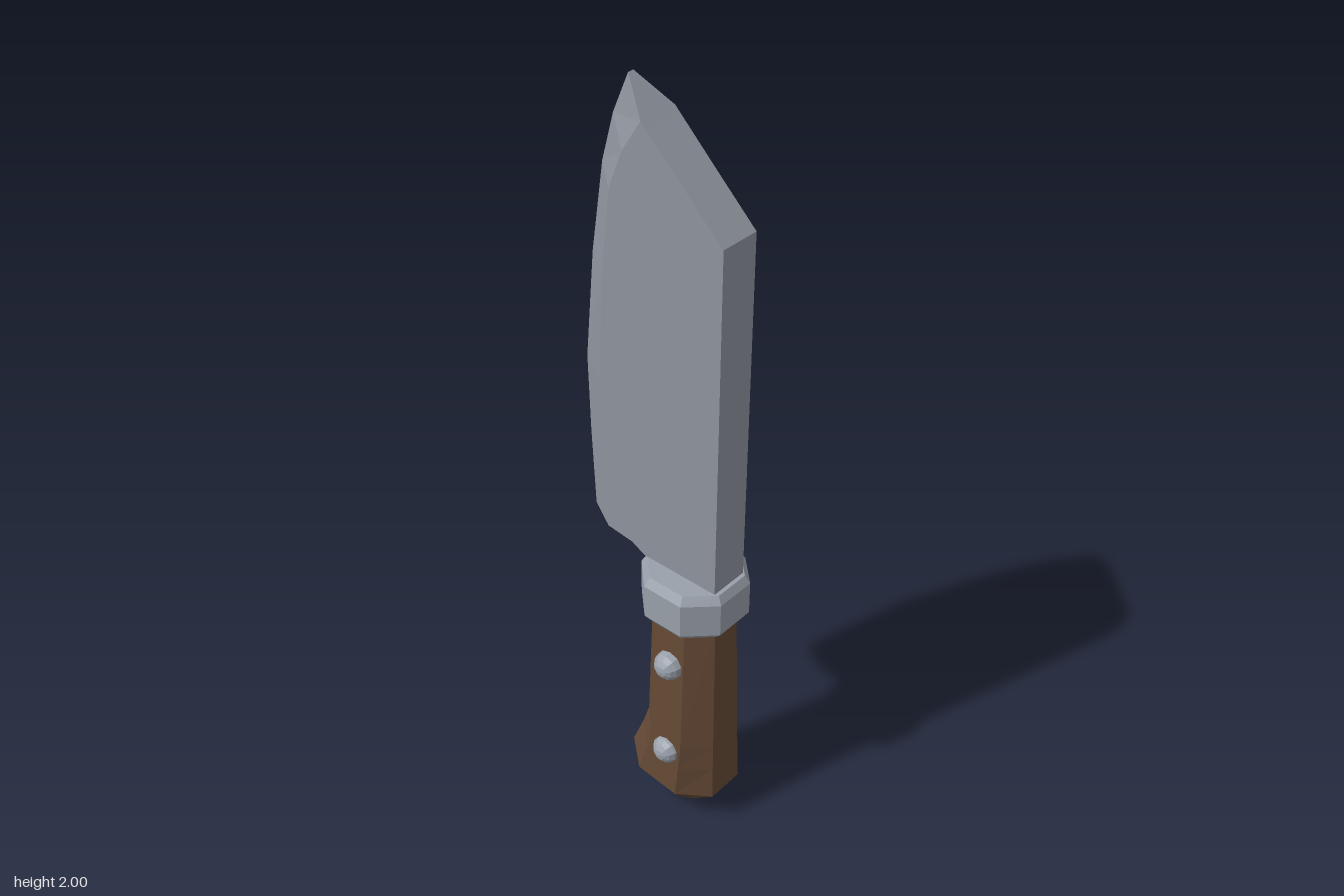
import * as THREE from 'three';

const steel = new THREE.MeshStandardMaterial({ color: 0x8f959e, flatShading: true });
steel.name = 'blade steel';
const pale = new THREE.MeshStandardMaterial({ color: 0x9aa1ab, flatShading: true });
pale.name = 'fitting steel';
const wood = new THREE.MeshStandardMaterial({ color: 0x664a36, flatShading: true });
wood.name = 'brown wood';

// Skins equal-length rings of [x, y, z] from bottom to top and caps both ends.
// Rings run counter-clockwise seen from above.
function loft(name, rings, material) {
  const n = rings[0].length;
  const index = [];
  for (let r = 0; r < rings.length - 1; r++) {
    for (let i = 0; i < n; i++) {
      const j = (i + 1) % n;
      const a = r * n + i, b = r * n + j, c = a + n, d = b + n;
      index.push(a, b, d, a, d, c);
    }
  }
  const top = (rings.length - 1) * n;
  for (let i = 1; i < n - 1; i++) {
    index.push(0, i + 1, i);
    index.push(top, top + i, top + i + 1);
  }
  const geometry = new THREE.BufferGeometry();
  geometry.setAttribute('position', new THREE.Float32BufferAttribute(rings.flat(2), 3));
  geometry.setIndex(index);
  const flat = geometry.toNonIndexed();
  flat.computeVertexNormals();
  const mesh = new THREE.Mesh(flat, material);
  mesh.name = name;
  return mesh;
}

// Eight-sided ring; its height may differ between the front and back.
function octagon(halfX, front, back, yFront, yBack = yFront) {
  const corners = [[1, -0.45], [0.45, -1], [-0.45, -1], [-1, -0.45], [-1, 0.45], [-0.45, 1], [0.45, 1], [1, 0.45]];
  return corners.map(([u, v]) => {
    const t = (v + 1) / 2;
    return [u * halfX, THREE.MathUtils.lerp(yBack, yFront, t), THREE.MathUtils.lerp(back, front, t)];
  });
}

// Six-sided blade section: spine, start of the bevel and cutting edge, each as [z, y].
function bladeRing([spine, bevel, edge, edgeHalf]) {
  const w = 0.053;
  const side = [[w, spine], [w, bevel], [edgeHalf, edge]];
  const right = side.map(([x, [z, y]]) => [x, y, z]);
  const left = side.map(([x, [z, y]]) => [-x, y, z]).reverse();
  return [...right, ...left];
}

export function createModel() {
  const model = new THREE.Group();
  model.name = 'knife';

  // Blade: neck, heel, bevelled edge and slanted tip
  const stations = [
    [[0.21, 0.74], [0.01, 0.74], [0.005, 0.74], 0.052],
    [[0.21, 0.79], [0.0, 0.795], [-0.005, 0.795], 0.052],
    [[0.21, 0.81], [-0.05, 0.82], [-0.055, 0.82], 0.052],
    [[0.21, 0.83], [-0.13, 0.829], [-0.135, 0.829], 0.05],
    [[0.21, 0.84], [-0.13, 0.834], [-0.215, 0.83], 0.005],
    [[0.21, 1.05], [-0.14, 1.05], [-0.225, 1.05], 0.005],
    [[0.21, 1.26], [-0.145, 1.26], [-0.23, 1.26], 0.005],
    [[0.21, 1.53], [-0.13, 1.54], [-0.202, 1.55], 0.005],
    [[0.21, 1.72], [-0.105, 1.75], [-0.165, 1.78], 0.006],
    [[0.1, 1.824], [-0.065, 1.85], [-0.13, 1.9], 0.007],
    [[0.0, 1.919], [-0.012, 1.931], [-0.085, 2.0], 0.008],
  ];
  model.add(loft('blade', stations.map(bladeRing), steel));

  // Collar with chamfered rims
  model.add(loft('collar', [
    octagon(0.108, 0.215, -0.005, 0.665),
    octagon(0.122, 0.232, -0.02, 0.685),
    octagon(0.122, 0.232, -0.02, 0.778),
    octagon(0.108, 0.22, -0.008, 0.8),
  ], pale));

  // Handle flaring to a hooked, faceted pommel
  model.add(loft('handle', [
    octagon(0.05, 0.13, 0.0, 0.0, 0.04),
    octagon(0.115, 0.22, -0.057, 0.1, 0.13),
    octagon(0.112, 0.217, -0.022, 0.2, 0.22),
    octagon(0.108, 0.215, -0.004, 0.28),
    octagon(0.09, 0.205, 0.005, 0.68),
  ], wood));

  // Two domed rivets on each side
  for (const [y, x] of [[0.54, 0.095], [0.248, 0.1]]) {
    for (const side of [1, -1]) {
      const rivet = new THREE.Mesh(new THREE.SphereGeometry(0.04, 10, 8), pale);
      rivet.name = side > 0 ? 'leftRivet' : 'rightRivet';
      rivet.rotation.z = Math.PI / 2;
      rivet.position.set(side * x, y, 0.108);
      model.add(rivet);
    }
  }
  return model;
}
